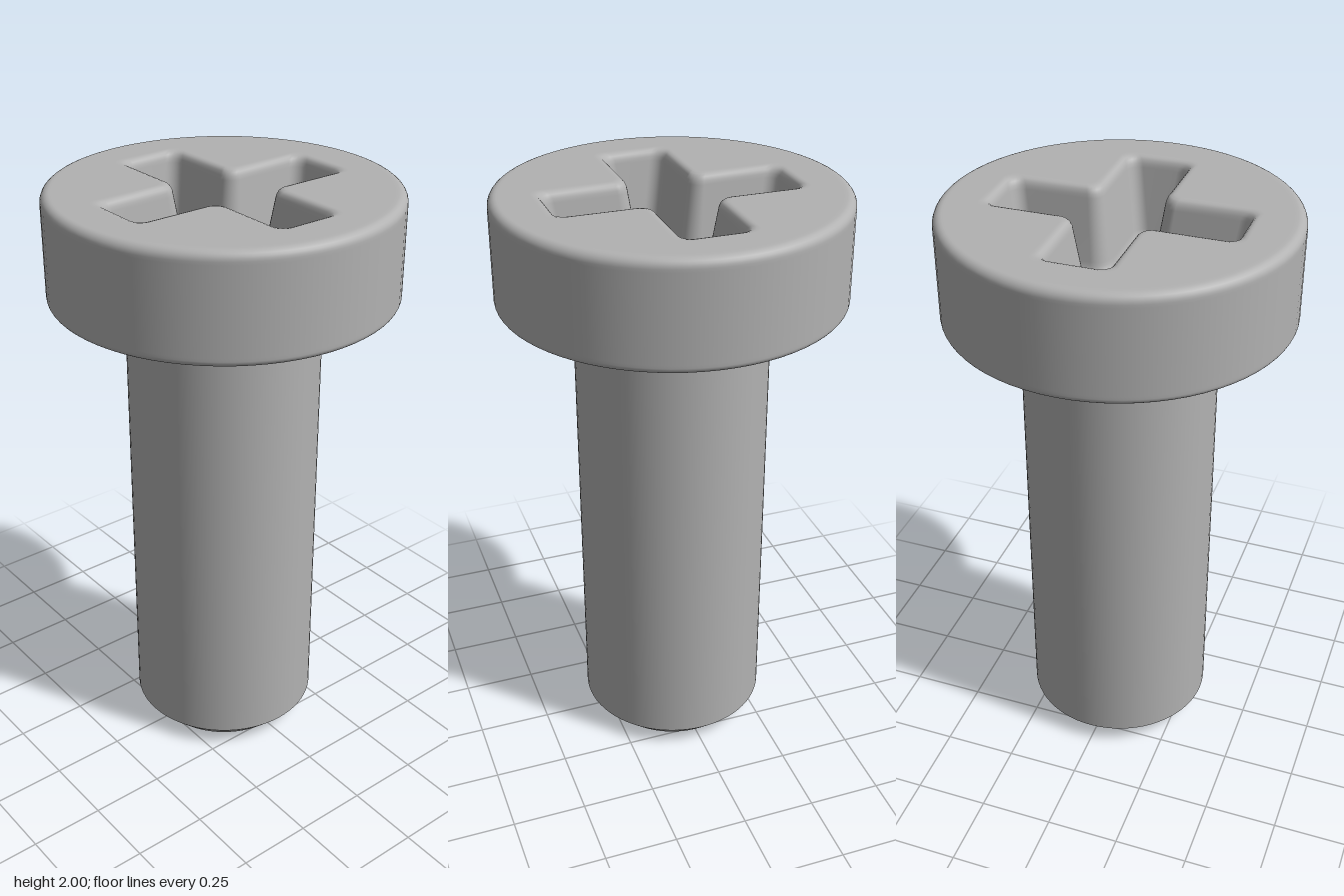
import * as THREE from 'three';

const SEG = 72;        // segments around the screw
const HEAD_R = 0.575;
const TOP = 2;
const UNDER = 1.645;   // underside of the head

const V = (x, y) => new THREE.Vector2(x, y);

// Points of a circular arc, angles in degrees
function arc(cx, cy, r, from, to, n = 6) {
  const pts = [];
  for (let i = 0; i <= n; i++) {
    const a = THREE.MathUtils.degToRad(from + (to - from) * i / n);
    pts.push(V(cx + r * Math.cos(a), cy + r * Math.sin(a)));
  }
  return pts;
}

// Rounded cross outline with half arm width w
function crossOutline(w) {
  const len = w + 0.295;
  const rOut = Math.min(0.042, w * 0.9);
  const rIn = 0.035 + (0.125 - w) * 0.4;
  const quarter = [
    ...arc(len - rOut, w - rOut, rOut, 0, 90),
    ...arc(w + rIn, w + rIn, rIn, 270, 180),
    ...arc(w - rOut, len - rOut, rOut, 0, 90),
  ];
  const pts = [];
  for (let k = 0; k < 4; k++) {
    for (const p of quarter) pts.push(p.clone().rotateAround(V(0, 0), k * Math.PI / 2));
  }
  return pts;
}

// Recess walls lofted through cross outlines; levels are [half width, y]
function recessGeometry(levels) {
  const pos = [], index = [];
  const rings = levels.map(([w]) => crossOutline(w));
  const n = rings[0].length;
  rings.forEach((ring, j) => ring.forEach((p) => pos.push(p.x, levels[j][1], p.y)));
  for (let j = 0; j < rings.length - 1; j++) {
    for (let i = 0; i < n; i++) {
      const a = j * n + i, b = j * n + (i + 1) % n;
      index.push(a, a + n, b, b, a + n, b + n);
    }
  }
  const geo = new THREE.BufferGeometry();
  geo.setAttribute('position', new THREE.Float32BufferAttribute(pos, 3));
  geo.setIndex(index);
  geo.computeVertexNormals();
  return geo;
}

// Flat horizontal face from an outline, facing up
function flatFace(outline, y, hole) {
  const shape = new THREE.Shape(outline);
  if (hole) shape.holes.push(new THREE.Path(hole));
  return new THREE.ShapeGeometry(shape).rotateX(-Math.PI / 2).translate(0, y, 0);
}

export function createModel() {
  const group = new THREE.Group();
  const steel = new THREE.MeshStandardMaterial({ color: 0xb2b2b2 });
  steel.name = 'steel grey';

  const add = (name, geo) => {
    const mesh = new THREE.Mesh(geo, steel);
    mesh.name = name;
    group.add(mesh);
  };
  const lathe = (name, pts) => add(name, new THREE.LatheGeometry(pts, SEG));

  // Chamfered tip
  lathe('tipEnd', [V(0, 0), V(0.26, 0)]);
  lathe('tipChamfer', [V(0.26, 0), V(0.325, 0.065)]);

  // Shank flaring into the underside of the head
  lathe('shank', [
    V(0.325, 0.065), V(0.325, 1.6),
    ...arc(0.355, UNDER - 0.03, 0.03, 180, 90),
    V(0.365, UNDER), V(0.4, UNDER),
  ]);

  // Head with rounded rims
  const rimTop = 0.03, rimLow = 0.02;
  const flatR = HEAD_R - rimTop - 0.01;
  lathe('head', [
    V(0.4, UNDER), V(HEAD_R - rimLow - 0.01, UNDER),
    ...arc(HEAD_R - rimLow, UNDER + rimLow, rimLow, -90, 0),
    V(HEAD_R, UNDER + rimLow + 0.01), V(HEAD_R, TOP - rimTop - 0.01),
    ...arc(HEAD_R - rimTop, TOP - rimTop, rimTop, 0, 90),
    V(flatR, TOP),
  ]);

  // Cross recess: rounded lip, tapered walls, filleted floor
  const levels = [
    [0.135, 0], [0.125, 0], [0.115, 0.003], [0.108, 0.010], [0.103, 0.022], [0.101, 0.035],
    [0.070, 0.240], [0.068, 0.252], [0.063, 0.268], [0.055, 0.277], [0.045, 0.280], [0.037, 0.280],
  ].map(([w, depth]) => [w, TOP - depth]);
  add('recessWalls', recessGeometry(levels));
  const [floorW, floorY] = levels[levels.length - 1];
  add('recessFloor', flatFace(crossOutline(floorW), floorY));

  // Flat top of the head around the recess
  add('headTop', flatFace(arc(0, 0, flatR, 0, 360, SEG).slice(0, -1), TOP, crossOutline(levels[0][0])));

  return group;
}
